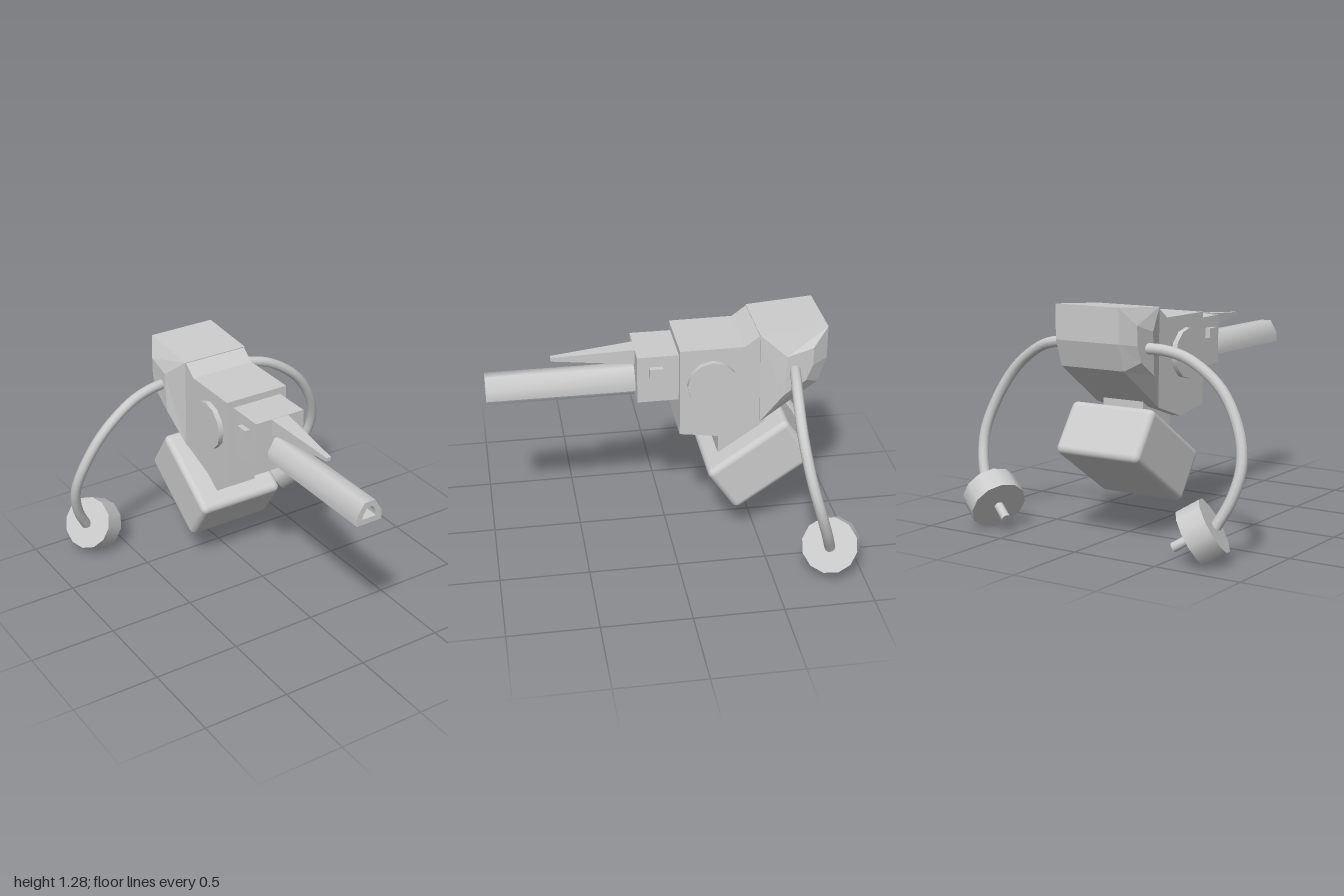
import * as THREE from 'three';
import { RoundedBoxGeometry } from 'three/addons/geometries/RoundedBoxGeometry.js';
import { toCreasedNormals } from 'three/addons/utils/BufferGeometryUtils.js';

const smooth = new THREE.MeshStandardMaterial({ color: 0xcccccc });
const flat = new THREE.MeshStandardMaterial({ color: 0xcccccc, flatShading: true });

function add(parent, name, geometry, material = flat, position = [0, 0, 0]) {
  const mesh = new THREE.Mesh(geometry, material);
  mesh.name = name;
  mesh.position.set(...position);
  parent.add(mesh);
  return mesh;
}

// Joins equal-length loops into a closed solid; loops run counter-clockwise about the travel direction
function loft(sections) {
  const pos = [];
  const tri = (a, b, c) => pos.push(...a, ...b, ...c);
  const n = sections[0].length;
  for (let s = 0; s < sections.length - 1; s++) {
    for (let i = 0; i < n; i++) {
      const j = (i + 1) % n, p = sections[s], q = sections[s + 1];
      tri(p[i], p[j], q[j]);
      tri(p[i], q[j], q[i]);
    }
  }
  const first = sections[0], last = sections[sections.length - 1];
  for (let i = 1; i < n - 1; i++) {
    tri(first[0], first[i + 1], first[i]);
    tri(last[0], last[i], last[i + 1]);
  }
  const g = new THREE.BufferGeometry();
  g.setAttribute('position', new THREE.Float32BufferAttribute(pos, 3));
  g.computeVertexNormals();
  return g;
}

// A [z, y] profile placed at a given x
const atX = (x, profile) => profile.map(([z, y]) => [x, y, z]);
// A rectangle in the plane at a given z
const rectZ = (z, w, y0, y1) => [[-w, y0, z], [w, y0, z], [w, y1, z], [-w, y1, z]];

// Cylinder between two points
function rod(parent, name, from, to, radius, sides) {
  const dir = to.clone().sub(from);
  const mesh = add(parent, name, new THREE.CylinderGeometry(radius, radius, dir.length(), sides), smooth);
  mesh.position.copy(from).addScaledVector(dir, 0.5);
  mesh.quaternion.setFromUnitVectors(new THREE.Vector3(0, 1, 0), dir.normalize());
}

// Parts on one side, built on the +x side
function buildSide(name) {
  const side = new THREE.Group();
  side.name = name;

  const disc = add(side, 'pivotDisc', new THREE.CylinderGeometry(0.14, 0.14, 0.05, 12), smooth, [0.2, 0.98, -0.235]);
  disc.rotation.z = Math.PI / 2;
  add(side, 'sideLug', new THREE.BoxGeometry(0.05, 0.055, 0.075), flat, [0.16, 1.058, 0.072]);

  // Curved hose from the hood down to the hanging drum
  const path = new THREE.CatmullRomCurve3([
    [0.22, 1.057, -0.69], [0.34, 1.053, -0.67], [0.48, 1.015, -0.65], [0.67, 0.875, -0.64],
    [0.795, 0.67, -0.67], [0.835, 0.5, -0.715], [0.805, 0.335, -0.765], [0.74, 0.2, -0.805],
  ].map(p => new THREE.Vector3(...p)));
  add(side, 'hose', new THREE.TubeGeometry(path, 32, 0.03, 10), smooth);

  // Hanging drum with a stub on its inner face
  const centre = new THREE.Vector3(0.68, 0.174, -0.83);
  const axis = new THREE.Vector3(0.78, 0.5, 0.37).normalize();
  const along = d => centre.clone().addScaledVector(axis, d);
  rod(side, 'drum', along(-0.068), along(0.068), 0.156, 12);
  rod(side, 'drumStub', along(-0.175), along(-0.05), 0.026, 10);
  return side;
}

export function createModel() {
  const model = new THREE.Group();
  model.name = 'mountedCannon';

  // Main housing; the profile starts at its lowest corner, which sees all the others
  const housing = [[-0.287, 0.638], [-0.51, 0.717], [-0.5, 1.253], [-0.415, 1.19], [-0.056, 1.188], [-0.056, 0.672]];
  add(model, 'housing', loft([atX(-0.195, housing), atX(0.195, housing)]));

  // Rear hood with bevelled cheeks
  const rim = [[-0.51, 0.717], [-0.828, 0.95], [-0.874, 1.094], [-0.874, 1.283], [-0.496, 1.255]];
  const cheek = [[-0.63, 0.907], [-0.75, 0.99], [-0.785, 1.08], [-0.785, 1.185], [-0.64, 1.14]];
  add(model, 'rearHood', loft([atX(-0.255, cheek), atX(-0.2, rim), atX(0.2, rim), atX(0.255, cheek)]));

  // Front block and tapering sight
  add(model, 'frontBlock', new THREE.BoxGeometry(0.31, 0.275, 0.275), flat, [0, 1.01, 0.0375]);
  add(model, 'sight', loft([rectZ(0.16, 0.055, 1.057, 1.147), rectZ(0.635, 0.013, 1.091, 1.113)]));

  // Hollow barrel with a softly rounded top
  const outline = (w, top, y0, y1, y2) => [[-w, y0], [w, y0], [w, y1], [top, y2], [-top, y2], [-w, y1]]
    .map(p => new THREE.Vector2(...p));
  const shape = new THREE.Shape(outline(0.077, 0.033, 0.902, 0.958, 1.029));
  shape.holes.push(new THREE.Path(outline(0.043, 0.018, 0.933, 0.951, 0.997)));
  const barrel = new THREE.ExtrudeGeometry(shape, { depth: 0.85, bevelEnabled: false });
  add(model, 'barrel', toCreasedNormals(barrel, 1.2), smooth, [0, 0, 0.15]);

  // Lower box on its bracket
  add(model, 'bracket', new THREE.BoxGeometry(0.26, 0.32, 0.265), flat, [0, 0.588, -0.42]);
  const box = add(model, 'lowerBox', new RoundedBoxGeometry(0.534, 0.31, 0.546, 4, 0.035), smooth, [0, 0.459, -0.513]);
  box.rotation.x = 0.6;

  // Mirrored side assemblies
  model.add(buildSide('leftSide'));
  const right = buildSide('rightSide');
  right.scale.x = -1;
  model.add(right);
  return model;
}
